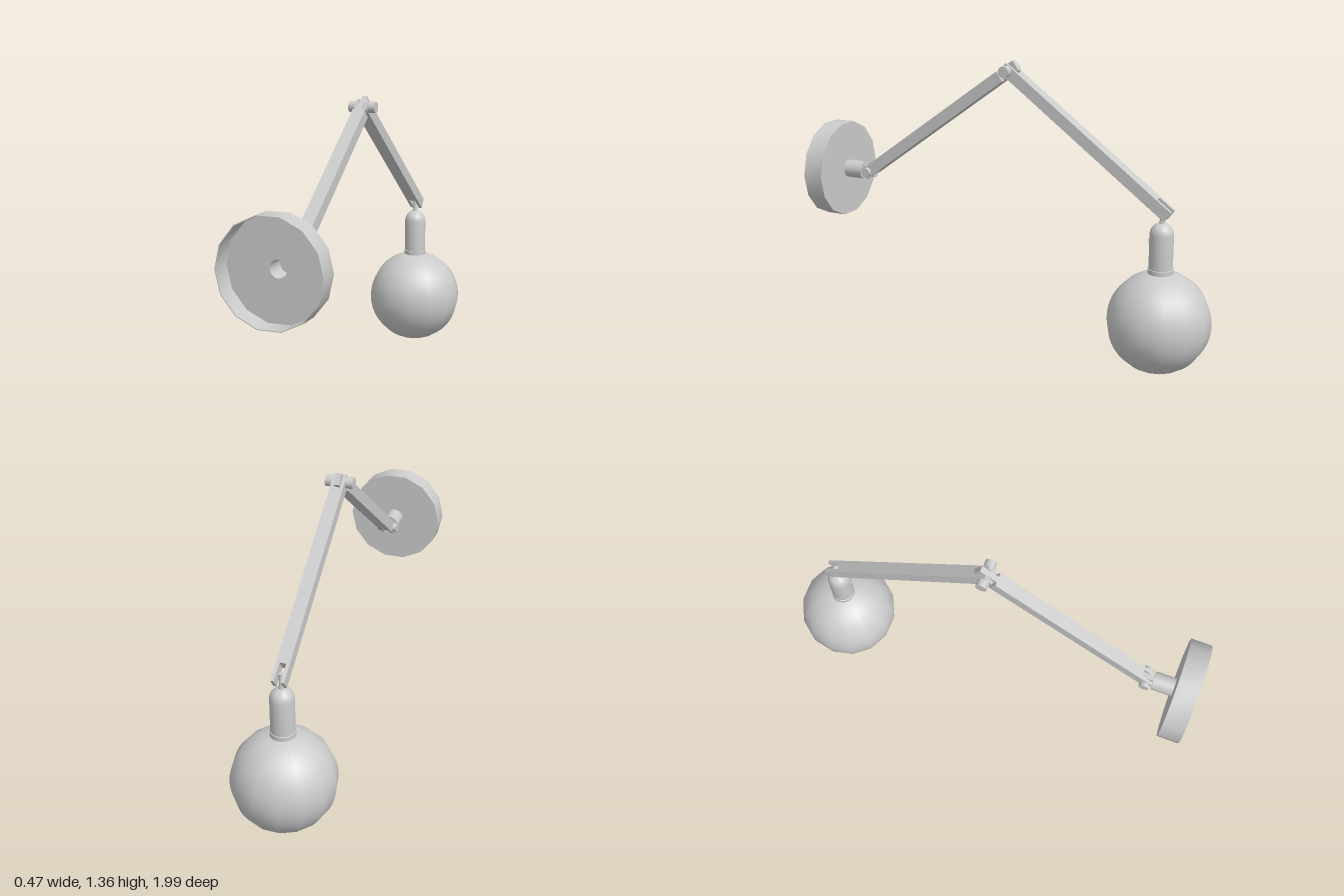
import * as THREE from 'three';
import { toCreasedNormals } from 'three/addons/utils/BufferGeometryUtils.js';

const material = new THREE.MeshStandardMaterial({ color: 0xcccccc, side: THREE.DoubleSide });
const ARM_W = 0.06, ARM_T = 0.054, TONGUE_W = 0.026, SLOT = 0.075;

function add(parent, name, geometry, x = 0, y = 0, z = 0) {
  const mesh = new THREE.Mesh(geometry, material);
  mesh.name = name;
  mesh.position.set(x, y, z);
  parent.add(mesh);
  return mesh;
}

// Lathe with sharp profile corners and smooth sides
function turned(points, sides) {
  const profile = points.map(([r, y]) => new THREE.Vector2(r, y));
  return toCreasedNormals(new THREE.LatheGeometry(profile, sides, Math.PI / 2), 0.6);
}

// Cylinder lying along x
function axleGeometry(radius, length, sides = 16) {
  return new THREE.CylinderGeometry(radius, radius, length, sides).rotateZ(Math.PI / 2);
}

// Square bar between two pivots; each end is a fork or a tongue
function makeArm(name, from, to, startEnd, finishEnd) {
  const arm = new THREE.Group();
  arm.name = name;
  arm.position.copy(from);
  arm.lookAt(to);
  const length = from.distanceTo(to);
  const bodyStart = 0.045, bodyEnd = length - 0.045;
  add(arm, name + 'Bar', new THREE.BoxGeometry(ARM_W, ARM_T, bodyEnd - bodyStart), 0, 0, (bodyStart + bodyEnd) / 2);
  const ends = [[startEnd, bodyStart, -1], [finishEnd, bodyEnd, 1]];
  for (const [end, z, dir] of ends) {
    const size = end.reach + 0.045;
    const mid = z + dir * size / 2;
    if (end.type === 'tongue') {
      add(arm, name + 'Tongue', new THREE.BoxGeometry(TONGUE_W, ARM_T, size), 0, 0, mid);
    } else {
      const cheek = (ARM_W - TONGUE_W) / 2 - 0.002;
      for (const side of [-1, 1]) {
        add(arm, name + 'ForkCheek', new THREE.BoxGeometry(cheek, ARM_T, size), side * (ARM_W - cheek) / 2, 0, mid);
      }
    }
  }
  return arm;
}

// Axle with a round knob on both sides
function makeHinge(name, pivot, radius, halfWidth) {
  const hinge = new THREE.Group();
  hinge.name = name;
  hinge.position.copy(pivot);
  add(hinge, name + 'Axle', axleGeometry(radius * 0.45, halfWidth * 1.8));
  const width = halfWidth - ARM_W / 2;
  for (const side of [-1, 1]) {
    add(hinge, name + 'Knob', axleGeometry(radius, width), side * (ARM_W / 2 + width / 2), 0, 0);
  }
  return hinge;
}

export function createModel() {
  const lamp = new THREE.Group();
  lamp.name = 'wallLamp';

  const basePivot = new THREE.Vector3(0, 0.76, 0.77);
  const elbow = new THREE.Vector3(0, 1.315, -0.008);
  const lampPivot = new THREE.Vector3(0, 0.755, -0.765);

  // Wall mount: shallow cup, open toward the wall
  const mount = new THREE.Group();
  mount.name = 'wallMount';
  mount.position.set(0, 0.76, 0);
  mount.rotation.x = Math.PI / 2;
  lamp.add(mount);
  add(mount, 'wallCup', turned([
    [0.04, 0.9], [0.236, 0.9], [0.236, 1], [0.232, 1], [0.232, 0.906], [0.04, 0.906], [0.04, 0.9],
  ], 14));

  // Hollow stem behind the cup, with the hinge plate
  add(mount, 'stem', turned([
    [0, 0.803], [0.043, 0.803], [0.043, 0.906], [0.039, 0.906], [0.039, 0.81], [0, 0.81],
  ], 20));
  add(mount, 'stemTongue', new THREE.BoxGeometry(TONGUE_W, 0.07, 0.054), 0, 0.773, 0);

  // Arms and hinges
  lamp.add(makeArm('lowerArm', basePivot, elbow,
    { type: 'fork', reach: 0.026 }, { type: 'tongue', reach: 0.046 }));
  lamp.add(makeArm('upperArm', elbow, lampPivot,
    { type: 'fork', reach: 0.026 }, { type: 'fork', reach: 0.04 }));
  lamp.add(makeHinge('baseHinge', basePivot, 0.023, 0.05));
  lamp.add(makeHinge('elbowHinge', elbow, 0.026, 0.064));
  add(lamp, 'lampPin', axleGeometry(0.007, ARM_W + 0.002, 10), 0, lampPivot.y, lampPivot.z);

  // Bulb holder hanging from the pin
  const pendant = new THREE.Group();
  pendant.name = 'pendant';
  pendant.position.z = lampPivot.z;
  lamp.add(pendant);
  add(pendant, 'hanger', turned([
    [0, 0.685], [0.018, 0.685], [0.011, 0.71], [0.011, 0.765], [0, 0.768],
  ], 12));
  const dome = [];
  for (let i = 0; i <= 8; i++) {
    const a = (i / 8) * Math.PI / 2;
    dome.push([0.054 * Math.cos(a), 0.642 + 0.056 * Math.sin(a)]);
  }
  add(pendant, 'socket', turned([[0, 0.485], [0.054, 0.485], ...dome], 24));
  add(pendant, 'socketCollar', turned([[0.05, 0.46], [0.057, 0.462], [0.057, 0.485], [0.05, 0.488]], 24));
  add(pendant, 'switch', new THREE.BoxGeometry(0.024, 0.024, 0.008), 0, 0.61, 0.052);

  // Globe shade
  const globe = [];
  const rings = 32, radius = 0.236, open = 0.24;
  for (let i = 0; i <= rings; i++) {
    const a = -Math.PI / 2 + (i / rings) * (Math.PI - open);
    globe.push(new THREE.Vector2(Math.max(0, radius * Math.cos(a)), radius * Math.sin(a)));
  }
  add(pendant, 'globe', new THREE.LatheGeometry(globe, 14, Math.PI / 2), 0, radius, 0);

  return lamp;
}
